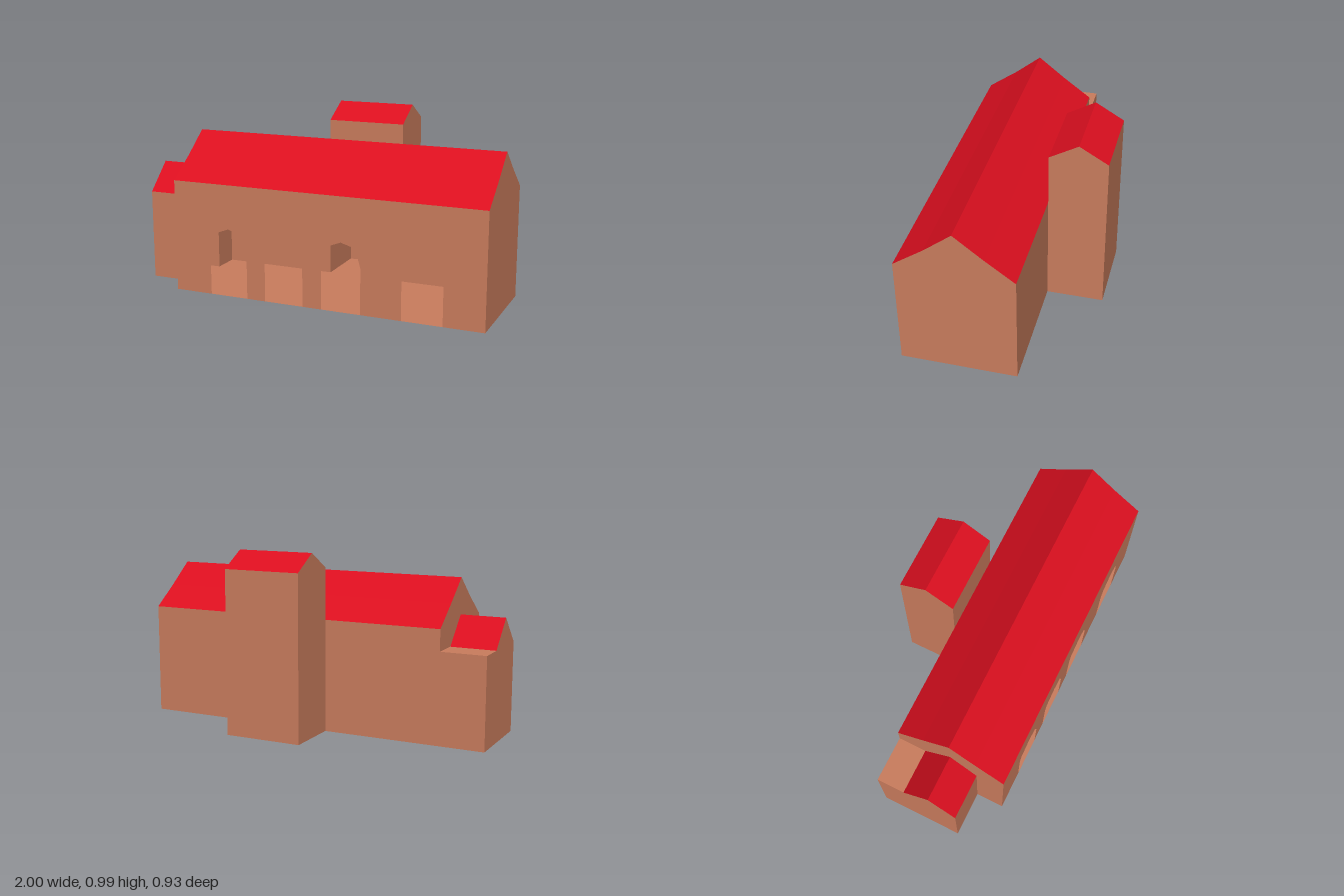
import * as THREE from 'three';

const brick = new THREE.MeshStandardMaterial({ color: 0xc97c5d, flatShading: true, side: THREE.DoubleSide });
const red = new THREE.MeshStandardMaterial({ color: 0xdb0f1f, flatShading: true, side: THREE.DoubleSide });

// For each facing: how plan coordinates enter the shape, and where the shape lies in space.
const facings = {
  front: { s: [1, 1], at: (u, v, c) => [u, v, c] },   // points are [x, y]
  back: { s: [-1, 1], at: (u, v, c) => [-u, v, c] },  // points are [x, y]
  right: { s: [-1, 1], at: (u, v, c) => [c, v, -u] }, // points are [z, y]
  left: { s: [1, 1], at: (u, v, c) => [c, v, u] },    // points are [z, y]
  up: { s: [1, -1], at: (u, v, c) => [u, c, -v] },    // points are [x, z]
  down: { s: [1, 1], at: (u, v, c) => [u, c, v] },    // points are [x, z]
};

const rect = (a0, a1, b0, b1) => [[a0, b0], [a1, b0], [a1, b1], [a0, b1]];

// Flat wall panel lying at distance c along its facing axis
function panel(name, facing, c, points) {
  const { s, at } = facings[facing];
  const shape = new THREE.Shape(points.map(([a, b]) => new THREE.Vector2(a * s[0], b * s[1])));
  const geo = new THREE.ShapeGeometry(shape);
  const p = geo.attributes.position;
  for (let i = 0; i < p.count; i++) p.setXYZ(i, ...at(p.getX(i), p.getY(i), c));
  geo.computeVertexNormals();
  const mesh = new THREE.Mesh(geo, brick);
  mesh.name = name;
  return mesh;
}

// Roof skin: a [z, y] profile from front to back, swept from x0 to x1
function roof(name, x0, x1, profile) {
  const pos = [];
  for (let i = 0; i + 1 < profile.length; i++) {
    const [z0, y0] = profile[i], [z1, y1] = profile[i + 1];
    const a = [x0, y0, z0], b = [x1, y0, z0], c = [x1, y1, z1], d = [x0, y1, z1];
    pos.push(...a, ...b, ...c, ...a, ...c, ...d);
  }
  const geo = new THREE.BufferGeometry();
  geo.setAttribute('position', new THREE.Float32BufferAttribute(pos, 3));
  geo.computeVertexNormals();
  const mesh = new THREE.Mesh(geo, red);
  mesh.name = name;
  return mesh;
}

function group(name, ...parts) {
  const g = new THREE.Group();
  g.name = name;
  g.add(...parts);
  return g;
}

export function createModel() {
  const F = 0.462, B = -0.155;          // hall front and back
  const L = -0.75, R = 1, EAVE = 0.617; // hall ends and eaves
  const TL = -0.095, TR = 0.34, TB = -0.465, TH = 0.9; // tower
  const WL = -1, WF = 0.305, WB = 0, WH = 0.5;         // side wing

  const hallRoof = [[F, EAVE], [0.3, 0.732], [0.153, 0.85], [0, 0.73], [B, EAVE]];
  const wingRoof = [[WF, WH], [0.153, 0.65], [WB, WH]];
  const towerRoof = [[B, TH], [-0.31, 0.99], [TB, TH]];

  // Front wall outline, dipping around four open arches
  const arch = [[-0.11, 0], [-0.11, 0.255], [-0.095, 0.338], [0, 0.375], [0.08, 0.352], [0.11, 0.25], [0.11, 0]];
  const frontWall = [[L, 0]];
  for (const x of [-0.425, -0.097, 0.23, 0.672])
    frontWall.push(...arch.map(([dx, y]) => [x + dx, y]));
  frontWall.push([R, 0], [R, EAVE], [L, EAVE]);

  // Hall: hollow, open inside to the wing and the tower
  const hall = group('hall',
    panel('archedFrontWall', 'front', F, frontWall),
    panel('rightGable', 'right', R, [[F, 0], ...hallRoof, [B, 0]]),
    panel('leftGable', 'left', L,
      [[F, 0], ...hallRoof, [B, 0], [WB, 0], ...[...wingRoof].reverse(), [WF, 0]]),
    panel('backWallLeft', 'back', B, rect(TR, R, 0, EAVE)),
    panel('backWallRight', 'back', B, rect(L, TL, 0, EAVE)),
    roof('hallRoof', L, R, hallRoof));

  // Wing with a flat terrace behind its roof
  const wing = group('sideWing',
    panel('wingFrontWall', 'front', WF, rect(WL, L, 0, WH)),
    panel('wingEndWall', 'left', WL, [[WF, 0], ...wingRoof, [B, WH], [B, 0]]),
    panel('wingBackWall', 'back', B, rect(WL, L, 0, WH)),
    panel('wingInnerWall', 'front', WB, rect(WL, L, 0, WH)),
    panel('terrace', 'up', WH, rect(WL, L, B, WB)),
    roof('wingRoof', WL, L, wingRoof));

  // Tower at the back
  const tower = group('tower',
    panel('towerFrontWall', 'front', B, rect(TL, TR, EAVE, TH)),
    panel('towerBackWall', 'back', TB, rect(TL, TR, 0, TH)),
    panel('towerRightWall', 'right', TR, [[B, 0], ...towerRoof, [TB, 0]]),
    panel('towerLeftWall', 'left', TL, [[B, 0], ...towerRoof, [TB, 0]]),
    roof('towerRoof', TL, TR, towerRoof));

  // One floor under all three
  const floor = panel('floor', 'down', 0, [
    [L, F], [R, F], [R, B], [TR, B], [TR, TB], [TL, TB], [TL, B], [WL, B], [WL, WF], [L, WF]]);

  return group('building', hall, wing, tower, floor);
}
